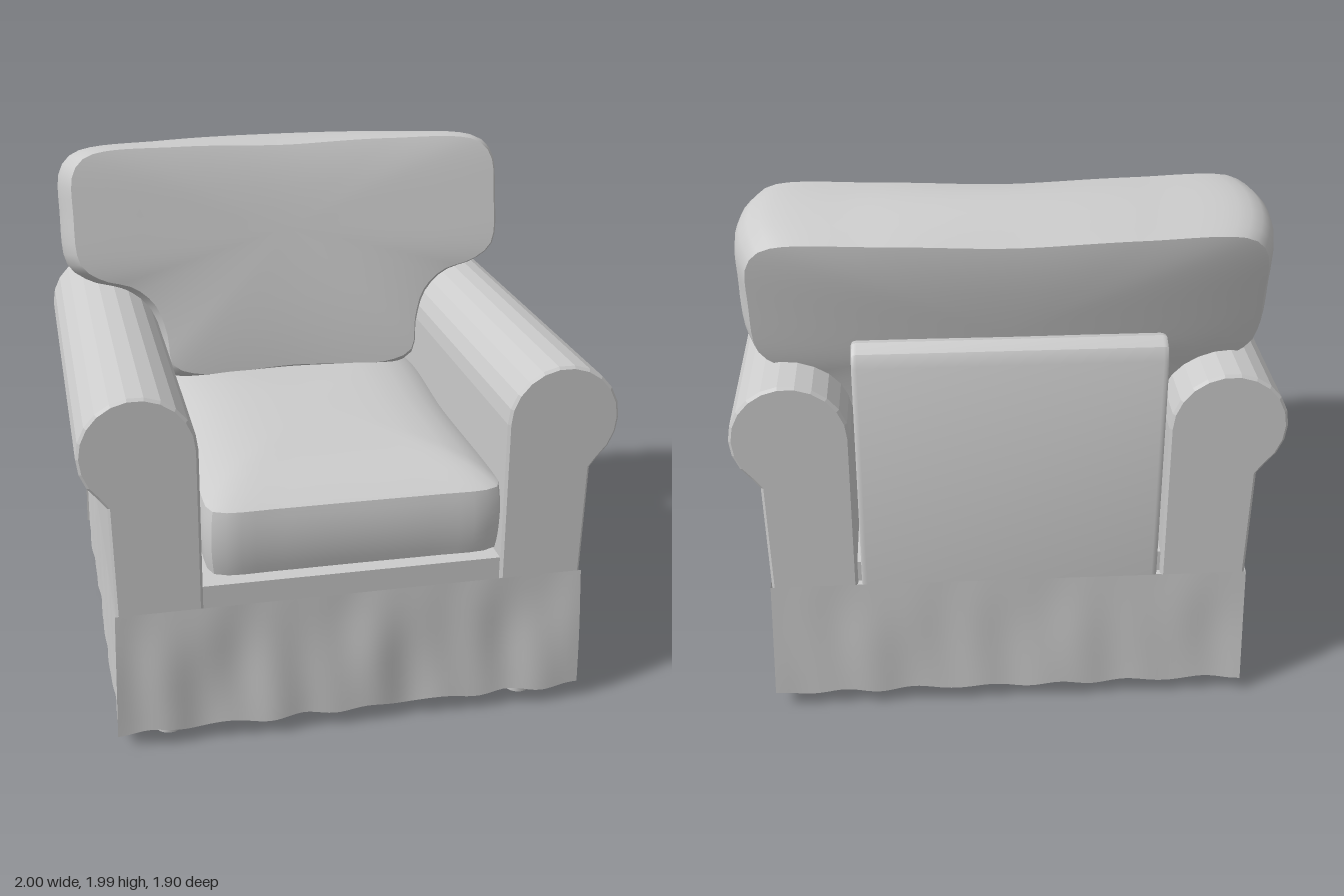
import * as THREE from 'three';
import { toCreasedNormals } from 'three/addons/utils/BufferGeometryUtils.js';

const material = new THREE.MeshStandardMaterial({ color: 0xcccccc, side: THREE.DoubleSide });
const flatMaterial = new THREE.MeshStandardMaterial({ color: 0xcccccc, flatShading: true });

function addMesh(parent, name, geometry, mat = material) {
  const mesh = new THREE.Mesh(geometry, mat);
  mesh.name = name;
  parent.add(mesh);
  return mesh;
}

function addBox(parent, name, w, y0, y1, z0, z1) {
  const mesh = addMesh(parent, name, new THREE.BoxGeometry(w, y1 - y0, z1 - z0));
  mesh.position.set(0, (y0 + y1) / 2, (z0 + z1) / 2);
}

// Half an outline (from bottom centre, up the +x side, to top centre) mirrored and smoothed
function mirroredOutline(half, count) {
  const mirrored = half.slice(1, -1).reverse().map(([x, y]) => [-x, y]);
  const points = [...half, ...mirrored].map(([x, y]) => new THREE.Vector3(x, y, 0));
  return new THREE.CatmullRomCurve3(points, true, 'centripetal').getSpacedPoints(count).slice(0, count);
}

// Boxed cushion: bulging side band between two creased seams, with a domed face on each side
function cushionGeometry(outline, { depth, bulge, dome, power, bend = 0 }) {
  const faceScales = [0, 0.25, 0.5, 0.7, 0.84, 0.93, 0.98];
  const cap = faceScales.map((s) => ({ s, inset: bulge, z: depth / 2 + dome * (1 - s ** power) }));
  const rings = cap.map((r) => ({ ...r, z: -r.z }));
  for (let i = 0; i <= 8; i++) {
    const t = i / 4 - 1;
    rings.push({ s: 1, inset: bulge * t * t, z: t * depth / 2 });
  }
  rings.push(...cap.reverse());

  const n = outline.length, positions = [], index = [];
  rings.forEach(({ s, inset, z }, r) => {
    outline.forEach((p, i) => {
      const k = s * (1 - inset / p.length());
      positions.push(p.x * k, p.y * k, z + bend * (p.x * k) ** 2);
      if (r === rings.length - 1) return;
      const a = r * n + i, b = r * n + (i + 1) % n;
      if (r > 0) index.push(a, b, b + n);
      if (r < rings.length - 2) index.push(a, b + n, a + n);
    });
  });
  const geometry = new THREE.BufferGeometry();
  geometry.setAttribute('position', new THREE.Float32BufferAttribute(positions, 3));
  geometry.setIndex(index);
  return toCreasedNormals(geometry, 0.6);
}

// Rolled arm: upright with a round top, extruded front to back
function armGeometry() {
  const shape = new THREE.Shape();
  shape.moveTo(0.58, 0.55);
  shape.lineTo(0.88, 0.55);
  shape.lineTo(0.89, 1.0);
  const start = -0.85, end = Math.PI;
  for (let i = 0; i <= 14; i++) {
    const a = start + (end - start) * i / 14;
    shape.lineTo(0.785 + 0.205 * Math.cos(a), 1.195 + 0.205 * Math.sin(a));
  }
  shape.closePath();
  const geometry = new THREE.ExtrudeGeometry(shape, {
    depth: 1.8, bevelThickness: 0.01, bevelSize: 0.01, bevelSegments: 1,
  });
  return geometry.translate(0, 0, -0.92);
}

// Hanging cloth panel, flat at the top and rippled towards the hem
function skirtGeometry(width, ripple, flare, phase) {
  const top = 0.565, height = 0.5;
  const geometry = new THREE.PlaneGeometry(width, height, 72, 8);
  const pos = geometry.attributes.position;
  for (let i = 0; i < pos.count; i++) {
    const x = pos.getX(i), t = 0.5 - pos.getY(i) / height;
    const wave = Math.sin(x * 17 + phase + t) * 0.5 + Math.sin(x * 31 + phase * 2 - 2 * t) * 0.3
      + Math.sin(x * 7 + phase * 3 + 3 * t) * 0.4;
    const hem = 0.007 * Math.sin(x * 23 + phase) * t ** 4;
    pos.setXYZ(i, x * (1 + 0.015 * t), top - height * t + hem,
      flare * t + ripple * wave * Math.sin(Math.min(1, t * 1.6) * Math.PI / 2));
  }
  geometry.computeVertexNormals();
  return geometry;
}

export function createModel() {
  const chair = new THREE.Group();
  chair.name = 'armchair';

  // Body and the rail below the seat
  addBox(chair, 'base', 1.77, 0.065, 0.56, -0.925, 0.875);
  addBox(chair, 'seatRail', 1.14, 0.55, 0.645, -0.9, 0.875);

  // Arms
  const rightArm = addMesh(chair, 'rightArm', armGeometry().scale(-1, 1, 1), flatMaterial);
  // mirrored triangles need their winding turned back
  const p = rightArm.geometry.attributes.position, v = new THREE.Vector3(), w = new THREE.Vector3();
  for (let i = 0; i < p.count; i += 3) {
    v.fromBufferAttribute(p, i);
    w.fromBufferAttribute(p, i + 1);
    p.setXYZ(i, w.x, w.y, w.z);
    p.setXYZ(i + 1, v.x, v.y, v.z);
  }
  rightArm.geometry.computeVertexNormals();
  addMesh(chair, 'leftArm', armGeometry(), flatMaterial);

  // Back panel, a side profile extruded across the width
  const profile = [[0.92, 0.55], [0.92, 1.47], [0.9, 1.51], [0.86, 1.53], [0.825, 1.52],
    [0.80, 1.45], [0.72, 1.0], [0.72, 0.55]];
  const panelShape = new THREE.Shape(profile.map(([z, y]) => new THREE.Vector2(z, y)));
  const panel = new THREE.ExtrudeGeometry(panelShape, {
    depth: 1.07, bevelThickness: 0.02, bevelSize: 0.01, bevelSegments: 3,
  });
  panel.translate(0, 0, -0.535).rotateY(Math.PI / 2);
  panel.rotateY(0).computeBoundingBox();
  addMesh(chair, 'backPanel', toCreasedNormals(panel, 0.6)).rotation.y = panel.boundingBox.max.z > 0 ? Math.PI : 0;

  // Seat cushion, lying flat
  const seatOutline = mirroredOutline([[0, -0.78], [0.3, -0.78], [0.5, -0.775], [0.55, -0.745],
    [0.56, -0.68], [0.56, 0], [0.56, 0.7], [0.5, 0.78], [0, 0.78]], 96);
  const seat = addMesh(chair, 'seatCushion',
    cushionGeometry(seatOutline, { depth: 0.25, bulge: 0.015, dome: 0.08, power: 5 }));
  seat.rotation.x = -Math.PI / 2;
  seat.position.set(0, 0.84, 0.17);

  // T-shaped back cushion, leaning back over the arms
  const backHalf = [[0, -0.05], [0.45, -0.05], [0.56, 0], [0.585, 0.14], [0.63, 0.27], [0.72, 0.36],
    [0.86, 0.41], [0.94, 0.48], [0.957, 0.7], [0.945, 0.88], [0.88, 0.95], [0.5, 0.985], [0, 0.995]];
  const backOutline = mirroredOutline(backHalf.map(([x, y]) => [x, y - 0.6]), 110);
  const backGeometry = cushionGeometry(backOutline,
    { depth: 0.4, bulge: 0.05, dome: 0.025, power: 3, bend: 0.06 });
  const back = addMesh(chair, 'backCushion', backGeometry.translate(0, 0.6, -0.215));
  back.position.set(0, 1.05, -0.27);
  back.rotation.x = -0.21;

  // Skirt panels: name, width, ripple, flare, x, z, turn
  const panels = [
    ['frontSkirt', 1.79, 0.012, 0.012, 0, 0.893, 0],
    ['leftSkirt', 1.8, 0.005, 0.006, 0.895, -0.03, Math.PI / 2],
    ['backSkirt', 1.79, 0.006, 0.005, 0, -0.935, Math.PI],
    ['rightSkirt', 1.8, 0.005, 0.006, -0.895, -0.03, -Math.PI / 2],
  ];
  panels.forEach(([name, width, ripple, flare, x, z, turn], i) => {
    const skirt = addMesh(chair, name, skirtGeometry(width, ripple, flare, i * 1.7));
    skirt.position.set(x, 0, z);
    skirt.rotation.y = turn;
  });

  // Feet
  for (const x of [-0.705, 0.705]) {
    for (const z of [-0.8, 0.78]) {
      addMesh(chair, 'foot', new THREE.CylinderGeometry(0.055, 0.05, 0.08, 16)).position.set(x, 0.04, z);
    }
  }
  return chair;
}
